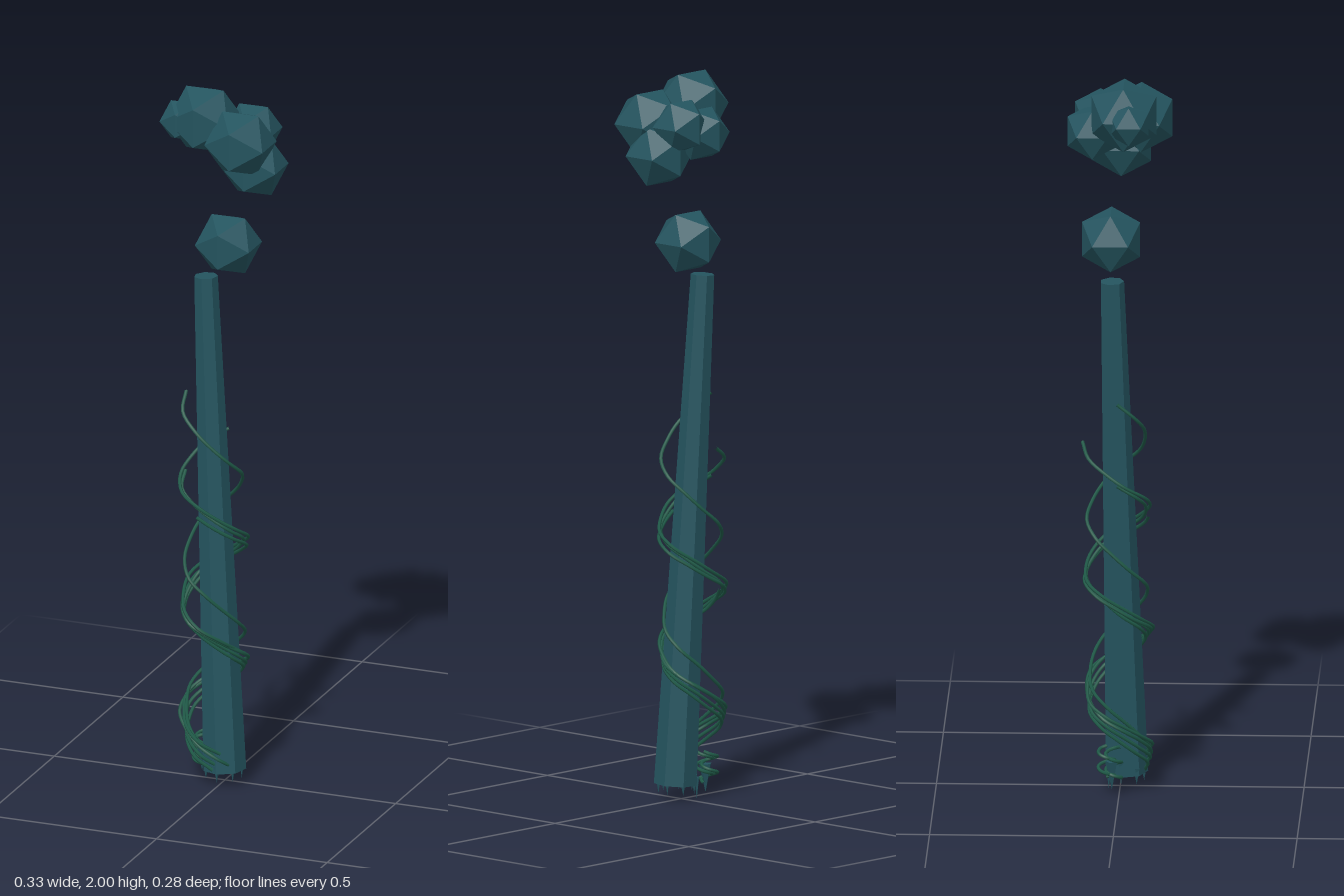
import * as THREE from 'three';

const bark = new THREE.MeshStandardMaterial({ color: 0x24545f, flatShading: true });
const leaf = new THREE.MeshStandardMaterial({ color: 0x24545f, flatShading: true });
const green = new THREE.MeshStandardMaterial({ color: 0x1f5a48 });

function add(parent, name, geometry, material, x = 0, y = 0, z = 0) {
  const mesh = new THREE.Mesh(geometry, material);
  mesh.name = name;
  mesh.position.set(x, y, z);
  parent.add(mesh);
  return mesh;
}

// Thin stem winding upward: left, back, right, front
function vineGeometry({ y0, y1, leftAt, period, r }) {
  const points = [];
  const steps = Math.ceil((y1 - y0) / period * 10);
  for (let i = 0; i <= steps; i++) {
    const t = i / steps;
    const y = y0 + (y1 - y0) * t;
    const a = Math.PI + (y - leftAt) / period * Math.PI * 2;
    const rr = r * (1 + 0.08 * Math.sin(i * 1.7));
    points.push(new THREE.Vector3(-0.035 + rr * Math.cos(a), y, -0.005 + rr * Math.sin(a)));
  }
  return new THREE.TubeGeometry(new THREE.CatmullRomCurve3(points), steps * 4, 0.005, 5);
}

export function createModel() {
  const tree = new THREE.Group();
  tree.name = 'tree';

  // Leaning, tapered seven-sided trunk
  const base = new THREE.Vector3(0.005, 0.04, 0.016);
  const tip = new THREE.Vector3(-0.064, 1.445, -0.02);
  const axis = tip.clone().sub(base);
  const mid = base.clone().add(tip).multiplyScalar(0.5);
  const trunk = add(tree, 'trunk', new THREE.CylinderGeometry(0.033, 0.06, axis.length(), 7), bark, mid.x, mid.y, mid.z);
  trunk.quaternion.setFromUnitVectors(new THREE.Vector3(0, 1, 0), axis.normalize());

  // Faceted foliage: x, y, z, radius
  const crown = new THREE.Group();
  crown.name = 'crown';
  tree.add(crown);
  [
    [-0.054, 1.912, 0.012, 0.104],
    [0.067, 1.872, 0.054, 0.1],
    [0.061, 1.875, -0.057, 0.08],
    [0, 1.85, -0.075, 0.08],
    [0.087, 1.793, 0.001, 0.094],
    [-0.114, 1.905, 0.028, 0.063],
    [0, 1.545, -0.025, 0.093],
  ].forEach(([x, y, z, r], i) =>
    add(crown, i < 6 ? 'foliageClump' : 'lowerFoliage', new THREE.IcosahedronGeometry(r), leaf, x, y, z));

  // Vines around the trunk
  const vines = new THREE.Group();
  vines.name = 'vines';
  tree.add(vines);
  [
    { y0: 0.05, y1: 0.98, leftAt: 0.2, period: 0.345, r: 0.09 },
    { y0: 0.08, y1: 1.11, leftAt: 0.23, period: 0.44, r: 0.08 },
    { y0: 0.06, y1: 0.88, leftAt: 0.18, period: 0.35, r: 0.082 },
    { y0: 0.1, y1: 0.78, leftAt: 0.21, period: 0.32, r: 0.088 },
    { y0: 0.05, y1: 0.58, leftAt: 0.16, period: 0.36, r: 0.078 },
  ].forEach((v) => add(vines, 'vine', vineGeometry(v), green));

  // Small coils low on the back left
  for (let k = 0; k < 2; k++) {
    const points = [];
    for (let i = 0; i <= 16; i++) {
      const a = i / 16 * Math.PI * 4 + k;
      points.push(new THREE.Vector3(-0.075 + 0.022 * Math.cos(a), 0.04 + i * 0.0055, -0.035 + k * 0.02 + 0.022 * Math.sin(a)));
    }
    add(vines, 'vineCoil', new THREE.TubeGeometry(new THREE.CatmullRomCurve3(points), 64, 0.005, 5), green);
  }

  // Pointed roots under the trunk
  const roots = new THREE.Group();
  roots.name = 'roots';
  tree.add(roots);
  for (let i = 0; i < 7; i++) {
    const a = i / 7 * Math.PI * 2;
    const h = 0.045 + 0.01 * (i % 3);
    const root = add(roots, 'root', new THREE.ConeGeometry(0.01, h, 5), bark,
      0.002 + 0.05 * Math.sin(a), 0.015 + h / 2, 0.015 + 0.05 * Math.cos(a));
    root.rotation.x = Math.PI;
  }
  const spike = add(roots, 'sideRoot', new THREE.ConeGeometry(0.018, 0.08, 5), bark, -0.075, 0.04 + 0.01, -0.02);
  spike.rotation.x = Math.PI;
  const deep = add(roots, 'deepRoot', new THREE.ConeGeometry(0.008, 0.06, 5), bark, -0.03, 0.03, -0.03);
  deep.rotation.x = Math.PI;

  return tree;
}
